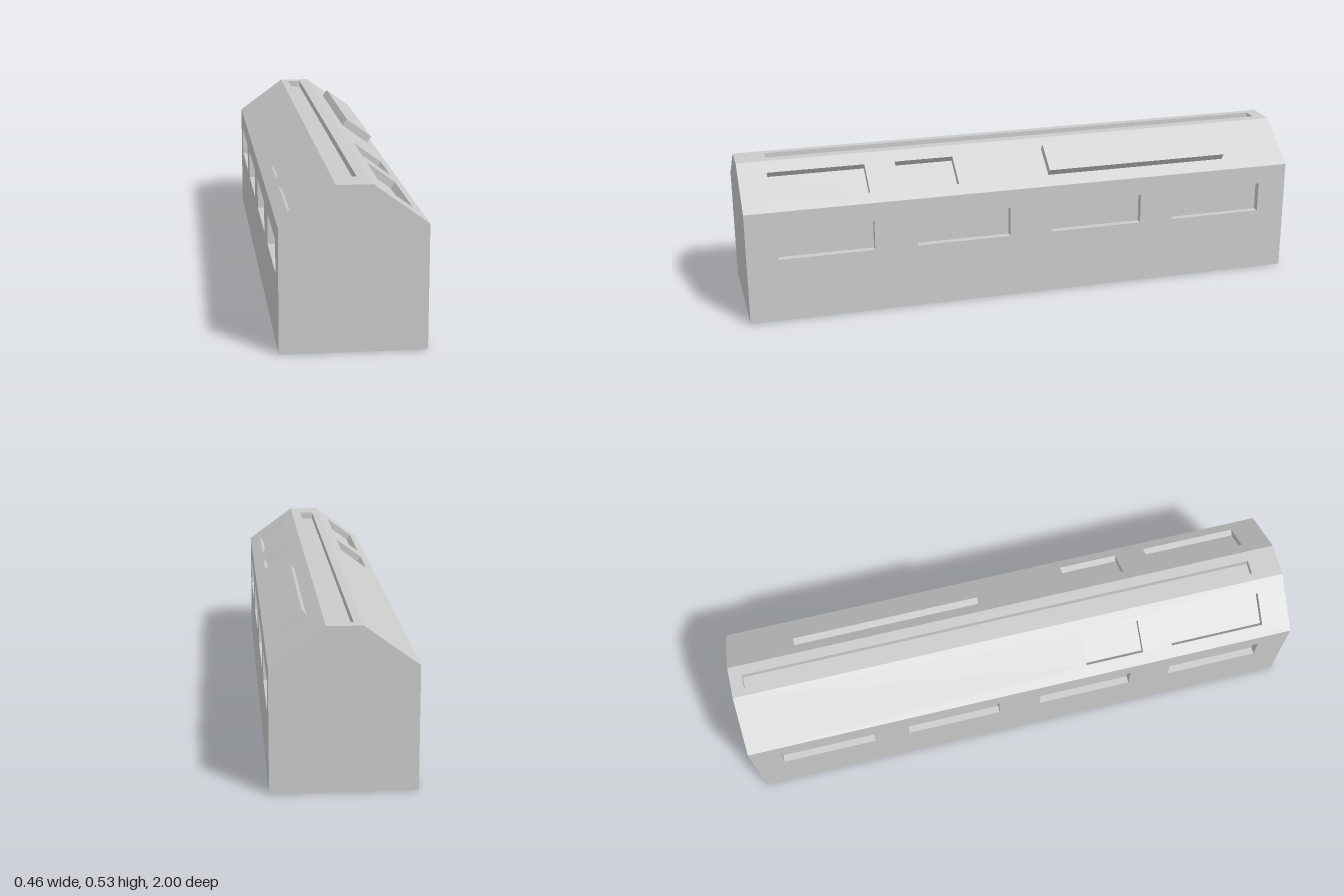
import * as THREE from 'three';

const LENGTH = 2, DEPTH = 0.025;
const material = new THREE.MeshStandardMaterial({ color: 0xcccccc, flatShading: true });

function addMesh(parent, name, geometry) {
  const mesh = new THREE.Mesh(geometry, material);
  mesh.name = name;
  parent.add(mesh);
  return mesh;
}

// Open-topped pocket: a box without its outer face, turned inside out
function recessGeometry(w, h) {
  const box = new THREE.BoxGeometry(w, h, DEPTH);
  const index = Array.from(box.index.array);
  index.splice(24, 6);
  box.setIndex(index.reverse());
  box.clearGroups();
  const geometry = box.toNonIndexed();
  geometry.computeVertexNormals();
  return geometry;
}

// Long flat side from profile point p to q, with recesses [z0, z1, v0, v1], v measured from p
function createPanel(name, p, q, recessName, recesses) {
  const group = new THREE.Group();
  group.name = name;
  const up = new THREE.Vector3(q[0] - p[0], q[1] - p[1], 0);
  const height = up.length();
  up.normalize();
  const normal = new THREE.Vector3(up.y, -up.x, 0);
  const along = new THREE.Vector3(0, 0, -1);
  group.quaternion.setFromRotationMatrix(new THREE.Matrix4().makeBasis(along, up, normal));
  group.position.set(p[0], p[1], 0);

  const half = LENGTH / 2;
  const rectangle = (a, b, c, d) =>
    [[a, c], [b, c], [b, d], [a, d]].map(([x, y]) => new THREE.Vector2(x, y));
  const shape = new THREE.Shape(rectangle(-half, half, 0, height));
  for (const [z0, z1, v0, v1] of recesses) {
    shape.holes.push(new THREE.Path(rectangle(-z1, -z0, v0, v1)));
    addMesh(group, recessName, recessGeometry(z1 - z0, v1 - v0))
      .position.set(-(z0 + z1) / 2, (v0 + v1) / 2, -DEPTH / 2);
  }
  addMesh(group, name + 'Surface', new THREE.ShapeGeometry(shape));
  return group;
}

export function createModel() {
  const model = new THREE.Group();
  model.name = 'longGambrelBody';

  // Cross-section, counter-clockwise from the front
  const profile = [[0.232, 0], [0.232, 0.402], [0.057, 0.53],
    [-0.057, 0.53], [-0.232, 0.402], [-0.232, 0]];

  const windowSpans = [[0.555, 0.89], [0.065, 0.404], [-0.428, -0.088], [-0.895, -0.555]];
  const hatchSpans = [[0.56, 0.9], [0.243, 0.452]];
  const at = (spans, v0, v1) => spans.map(([a, b]) => [a, b, v0, v1]);

  const sides = [
    ['leftWall', 'windowRecess', at(windowSpans, 0.228, 0.335)],
    ['leftRoof', 'roofRecess', at(hatchSpans, 0.046, 0.166)],
    ['roofRidge', 'ridgeSlot', [[-0.955, 0.894, 0.037, 0.087]]],
    ['rightRoof', 'roofRecess', at(hatchSpans, 0.051, 0.171)],
    ['rightWall', 'windowRecess', at(windowSpans, 0.067, 0.174)],
    ['floor', 'floorRecess', []],
  ];
  const panels = sides.map(([name, recessName, recesses], i) =>
    createPanel(name, profile[i], profile[(i + 1) % profile.length], recessName, recesses));
  model.add(...panels);

  // Raised box lying on the left roof slope
  addMesh(panels[1], 'raisedRoofBox', new THREE.BoxGeometry(0.67, 0.115, 0.029))
    .position.set(0.422, 0.107, 0.0135);

  // End walls
  const endShape = new THREE.Shape(profile.map(([x, y]) => new THREE.Vector2(x, y)));
  addMesh(model, 'frontEnd', new THREE.ShapeGeometry(endShape)).position.z = LENGTH / 2;
  const back = addMesh(model, 'backEnd', new THREE.ShapeGeometry(endShape));
  back.position.z = -LENGTH / 2;
  back.rotation.y = Math.PI;

  return model;
}
